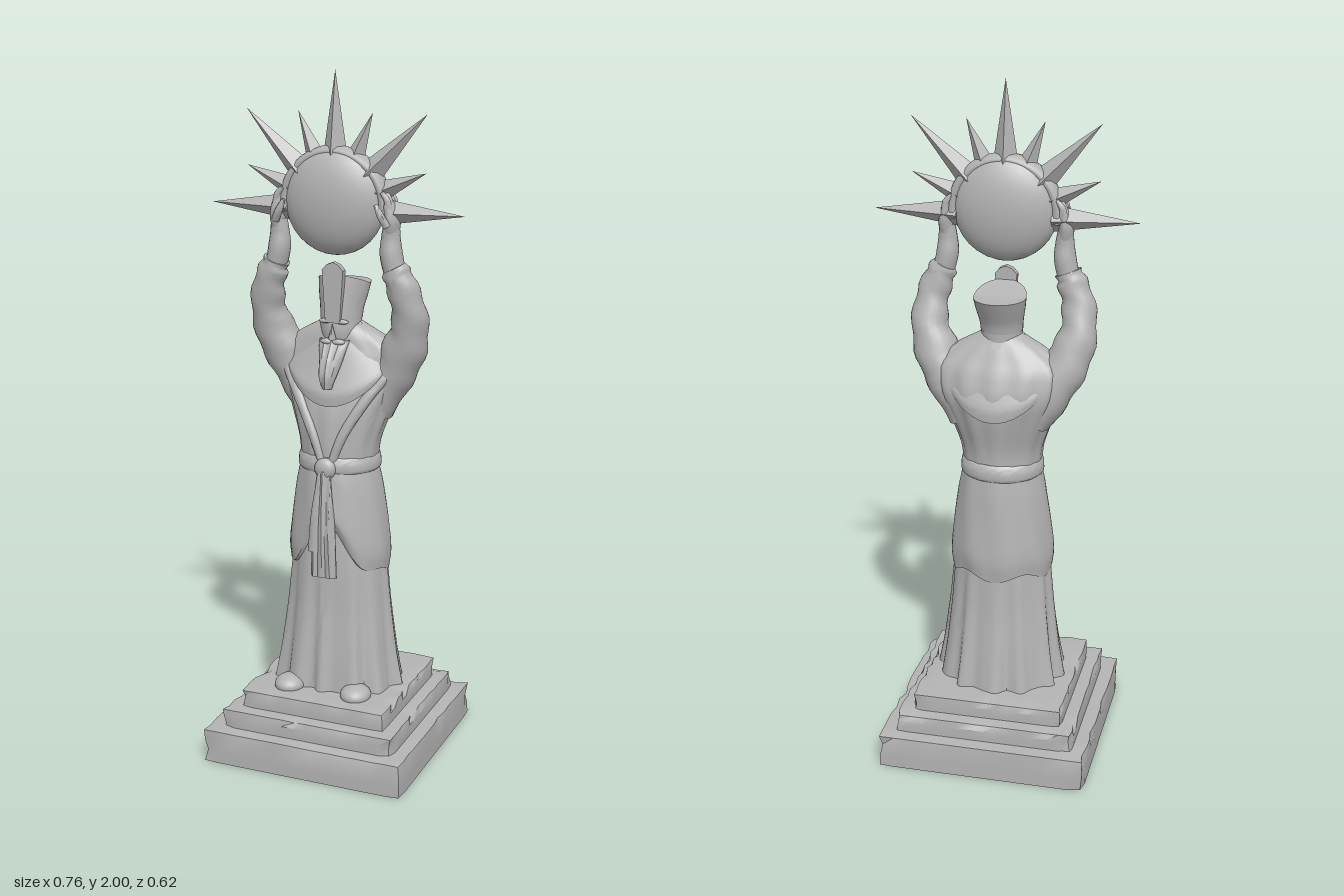
import * as THREE from 'three';
import { toCreasedNormals } from 'three/addons/utils/BufferGeometryUtils.js';

const stone = new THREE.MeshStandardMaterial({ color: 0xb4b4b4 });
stone.name = 'grey stone';

// Smooth skin through rows of [x, y, z, radiusX, radiusZ], bottom to top.
// flat keeps the rings level; warp may move each point.
function loft(rows, { steps = 16, sides = 24, flat = false, warp = null, crease = 0.8 } = {}) {
  const path = new THREE.CatmullRomCurve3(rows.map(r => new THREE.Vector3(r[0], r[1], r[2])));
  const size = new THREE.CatmullRomCurve3(rows.map(r => new THREE.Vector3(r[3], r[4], 0)));
  const pos = [], index = [];
  for (let i = 0; i <= steps; i++) {
    const t = i / steps, c = path.getPoint(t), s = size.getPoint(t);
    const dir = flat ? new THREE.Vector3(0, 1, 0) : path.getTangent(t);
    const u = new THREE.Vector3(1, 0, 0).addScaledVector(dir, -dir.x).normalize();
    const w = u.clone().cross(dir);
    for (let j = 0; j < sides; j++) {
      const a = (j / sides) * Math.PI * 2;
      const p = c.clone().addScaledVector(u, Math.sin(a) * s.x).addScaledVector(w, Math.cos(a) * s.y);
      if (warp) warp(p, a, t);
      pos.push(p.x, p.y, p.z);
      if (i < steps) {
        const k = i * sides + j, n = i * sides + (j + 1) % sides;
        index.push(k, n, n + sides, k, n + sides, k + sides);
      }
    }
  }
  const first = path.getPoint(0), last = path.getPoint(1), cap = pos.length / 3, top = steps * sides;
  pos.push(first.x, first.y, first.z, last.x, last.y, last.z);
  for (let j = 0; j < sides; j++) {
    const n = (j + 1) % sides;
    index.push(cap, n, j, cap + 1, top + j, top + n);
  }
  const g = new THREE.BufferGeometry();
  g.setAttribute('position', new THREE.Float32BufferAttribute(pos, 3));
  g.setIndex(index);
  return toCreasedNormals(g, crease);
}

// Stone slab with worn edges
function slab(half, y0, y1) {
  const h = y1 - y0, g = new THREE.BoxGeometry(half * 2, h, half * 2, 14, 3, 14), p = g.attributes.position;
  for (let i = 0; i < p.count; i++) {
    const x = p.getX(i), y = p.getY(i), z = p.getZ(i);
    const ex = Math.abs(x) > half - 1e-4, ey = y > h / 2 - 1e-4, ez = Math.abs(z) > half - 1e-4;
    if (ex + ey + ez < 2) continue;
    const n = Math.abs(Math.sin(x * 91.7 + y * 47.3 + z * 63.1) * 43.7) % 1;
    const d = 0.002 + 0.011 * n * n * n;
    p.setXYZ(i, ex ? x - Math.sign(x) * d : x, ey ? y - d * 0.7 : y, ez ? z - Math.sign(z) * d : z);
  }
  return toCreasedNormals(g, 0.6).translate(0, (y0 + y1) / 2, 0);
}

export function createModel() {
  const model = new THREE.Group();
  const add = (name, geometry, parent = model) => {
    const m = new THREE.Mesh(geometry, stone);
    m.name = name;
    parent.add(m);
    return m;
  };
  const ball = (x, y, z, rx, ry, rz) =>
    new THREE.SphereGeometry(1, 24, 16).scale(rx, ry, rz).translate(x, y, z);

  // Stepped plinth
  [[0.31, 0, 0.1], [0.267, 0.09, 0.155], [0.226, 0.145, 0.206]]
    .forEach(s => add('plinthStep', slab(...s)));

  // Pleated skirt, folds deepening toward the floor
  add('skirt', loft([[0, 0.2, 0, 0.187, 0.16], [0, 0.3, 0, 0.172, 0.145], [0, 0.45, 0, 0.155, 0.125],
    [0, 0.6, 0, 0.142, 0.115], [0, 0.85, 0, 0.105, 0.095]], {
    flat: true, sides: 96, steps: 20,
    warp: (p, a, t) => {
      const front = Math.max(0, Math.cos(a)) ** 10;
      const k = 1 + (1 - t) * (0.06 * Math.cos(12 * a) + 0.025 * Math.cos(19 * a + 1) - 0.13 * front);
      p.x *= k; p.z *= k;
    },
  }));
  for (const s of [-1, 1])
    add('foot', ball(s * 0.105, 0.212, 0.135, 0.045, 0.03, 0.05));

  // Tunic, its hem lifted open at the front
  add('tunic', loft([[0, 0.565, 0, 0.148, 0.124], [0, 0.62, 0, 0.153, 0.13], [0, 0.72, 0, 0.143, 0.123],
    [0, 0.82, 0, 0.128, 0.115], [0, 0.9, 0, 0.11, 0.105]], {
    flat: true, sides: 64,
    warp: (p, a, t) => {
      p.y += (1 - t) * (0.17 * Math.max(0, Math.cos(a)) ** 5 + 0.012 * Math.cos(5 * a));
      const k = 1 + 0.012 * Math.cos(9 * a + t * 4);
      p.x *= k; p.z *= k;
    },
  }));

  // Robe body with folds gathering at the belt
  add('torso', loft([[0, 0.86, 0, 0.11, 0.102], [0, 0.95, 0, 0.12, 0.102], [0, 1.05, -0.015, 0.153, 0.107],
    [0, 1.13, -0.03, 0.187, 0.1], [0, 1.2, -0.03, 0.195, 0.08], [0, 1.26, -0.02, 0.125, 0.06],
    [0, 1.3, -0.015, 0.05, 0.045]], {
    flat: true, sides: 72, steps: 24,
    warp: (p, a, t) => {
      const k = 1 + 0.025 * Math.sin(Math.PI * t) * Math.cos(14 * a);
      p.x *= k; p.z *= k;
    },
  }));
  add('belt', loft([[0, 0.865, 0, 0.112, 0.104], [0, 0.875, 0, 0.122, 0.114], [0, 0.905, 0, 0.12, 0.112],
    [0, 0.918, 0, 0.11, 0.102]], { flat: true, sides: 48, steps: 8 }));
  add('beltKnot', ball(0, 0.885, 0.112, 0.032, 0.032, 0.02));

  // Hanging sash
  const pleat = (p, a) => { p.z += 0.004 * Math.cos(p.x * 260); };
  add('sash', loft([[0.004, 0.565, 0.133, 0.042, 0.012], [0.002, 0.7, 0.132, 0.036, 0.013],
    [0, 0.88, 0.118, 0.02, 0.012]], { sides: 32, warp: pleat }));
  add('sashTail', loft([[-0.026, 0.64, 0.137, 0.018, 0.01], [-0.02, 0.75, 0.133, 0.016, 0.01],
    [-0.008, 0.88, 0.12, 0.01, 0.01]], { sides: 12 }));

  // Round collar over the shoulders, hanging lower at front and back
  add('collar', loft([[0, 1.12, -0.022, 0.165, 0.12], [0, 1.135, -0.022, 0.168, 0.121],
    [0, 1.18, -0.022, 0.15, 0.1], [0, 1.25, -0.018, 0.085, 0.068], [0, 1.29, -0.015, 0.05, 0.048]], {
    flat: true, sides: 48,
    warp: (p, a, t) => { p.y += (1 - t) * (0.11 * Math.sin(a) ** 2 - 0.055); },
  }));

  // Arms, cuffs, hands and robe lapels, mirrored
  for (const s of [-1, 1]) {
    const arm = new THREE.Group();
    arm.name = s > 0 ? 'leftArm' : 'rightArm';
    model.add(arm);
    const limb = (name, rows, opt) =>
      add(name, loft(rows.map(([x, ...r]) => [s * x, ...r]), { sides: 16, ...opt }), arm);
    limb('sleeve', [[0.1, 1.04, -0.025, 0.05, 0.06], [0.15, 1.14, -0.025, 0.062, 0.064],
      [0.19, 1.22, -0.01, 0.064, 0.06], [0.216, 1.3, 0.008, 0.053, 0.052], [0.211, 1.38, 0.03, 0.047, 0.043],
      [0.19, 1.44, 0.038, 0.042, 0.04], [0.178, 1.468, 0.04, 0.036, 0.036]], {
      steps: 24, sides: 24,
      warp: (p, a, t) => { p.x += s * 0.004 * Math.sin(t * 34 + a); },
    });
    limb('forearm', [[0.19, 1.42, 0.038, 0.03, 0.03], [0.17, 1.5, 0.04, 0.032, 0.034],
      [0.168, 1.55, 0.04, 0.027, 0.028], [0.17, 1.585, 0.04, 0.022, 0.029]]);
    limb('palm', [[0.169, 1.56, 0.04, 0.021, 0.027], [0.172, 1.6, 0.04, 0.021, 0.036],
      [0.165, 1.64, 0.038, 0.016, 0.034], [0.158, 1.655, 0.037, 0.01, 0.026]]);
    for (let i = 0; i < 4; i++) {
      const z = 0.012 + i * 0.017;
      limb('finger', [[0.17, 1.62, z, 0.011, 0.01], [0.165, 1.655, z, 0.01, 0.009],
        [0.148, 1.685 - 0.006 * Math.abs(i - 1.5), z, 0.006, 0.006]], { sides: 8, steps: 6 });
    }
    limb('thumb', [[0.168, 1.585, 0.07, 0.012, 0.012], [0.152, 1.615, 0.08, 0.011, 0.01],
      [0.137, 1.645, 0.08, 0.006, 0.006]], { sides: 8, steps: 6 });
    limb('lapel', [[0.015, 0.9, 0.1, 0.012, 0.012], [0.045, 0.98, 0.095, 0.014, 0.012],
      [0.1, 1.08, 0.066, 0.016, 0.014], [0.15, 1.15, 0.03, 0.014, 0.014]], { sides: 10 });
  }

  // Head and face
  add('head', loft([[0, 1.18, -0.01, 0.035, 0.04], [0, 1.23, -0.008, 0.05, 0.055], [0, 1.28, -0.008, 0.059, 0.062],
    [0, 1.34, -0.012, 0.058, 0.06]], { flat: true }));
  add('nose', new THREE.ConeGeometry(0.013, 0.045, 4).translate(0, 1.275, 0.058));
  for (const s of [-1, 1]) {
    add('brow', ball(s * 0.025, 1.303, 0.047, 0.02, 0.007, 0.01));
    add('ear', ball(s * 0.059, 1.275, -0.005, 0.009, 0.022, 0.014));
    add('moustache', ball(s * 0.017, 1.246, 0.055, 0.02, 0.009, 0.013));
  }
  add('beard', loft([[0, 1.118, 0.098, 0.014, 0.012], [0, 1.15, 0.092, 0.025, 0.021], [0, 1.2, 0.068, 0.036, 0.028],
    [0, 1.25, 0.035, 0.046, 0.025]], {
    flat: true, warp: (p, a) => { p.z += 0.003 * Math.cos(p.x * 300); },
  }));

  // Tall hat flaring backward, with a peaked front plate
  add('hat', loft([[0, 1.305, -0.01, 0.06, 0.062], [0, 1.33, -0.014, 0.062, 0.064], [0, 1.37, -0.026, 0.07, 0.072],
    [0, 1.405, -0.037, 0.075, 0.079]], {
    flat: true, sides: 32, steps: 8,
    warp: (p, a, t) => { p.y += t * 0.03 * Math.max(0, Math.cos(a)); },
  }));
  const plate = new THREE.Shape([[-0.022, 1.3], [0.022, 1.3], [0.032, 1.45], [0.018, 1.466], [0, 1.473],
    [-0.018, 1.466], [-0.032, 1.45]].map(p => new THREE.Vector2(...p)));
  add('hatPlate', new THREE.ExtrudeGeometry(plate, { depth: 0.02, bevelEnabled: false }).translate(0, 0, 0.038));

  // Sun disc: bulging lens, rim and nine rays
  add('sunDisc', ball(0, 1.643, 0.035, 0.15, 0.152, 0.067));
  add('sunRim', new THREE.TorusGeometry(0.148, 0.018, 10, 40, Math.PI * 1.1)
    .rotateZ(-Math.PI * 0.05).scale(1, 1, 1.7).translate(0, 1.632, 0.035));
  for (let i = 0; i <= 8; i++) {
    const long = i % 2 === 0, tip = long ? 0.38 : 0.29, base = 0.135;
    const ray = new THREE.ConeGeometry(long ? 0.038 : 0.032, tip - base, 4)
      .translate(0, (tip + base) / 2, 0)
      .rotateZ((i - 4) * Math.PI / 8)
      .translate(0, 1.62, 0.035);
    add('sunRay', toCreasedNormals(ray, 0.4));
  }
  return model;
}
